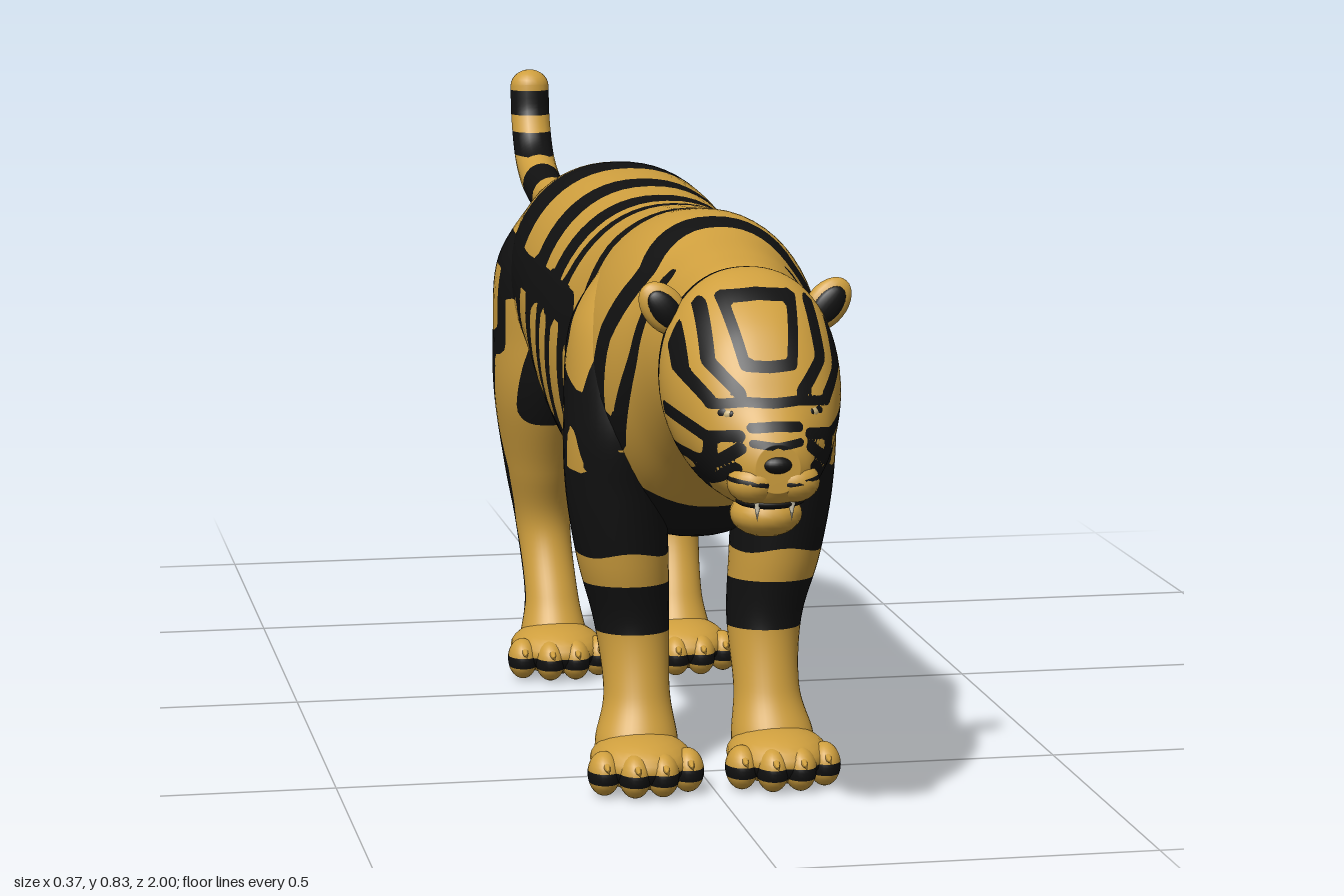
import * as THREE from 'three';

const ORANGE = new THREE.MeshStandardMaterial({ color: 0xcf9f3e });
const BLACK = new THREE.MeshStandardMaterial({ color: 0x111111 });
const EYE = new THREE.MeshStandardMaterial({ color: 0xc9b27a });
const TOOTH = new THREE.MeshStandardMaterial({ color: 0xe0d8c0 });

// Distance from (u, v) to the nearest painted stroke; negative means black.
// A stroke is [halfWidth, u0, v0, u1, v1, ...].
function strokes(list, u, v) {
  let best = 1;
  for (const [w, ...p] of list) {
    for (let i = 0; i + 3 < p.length; i += 2) {
      const dx = p[i + 2] - p[i], dy = p[i + 3] - p[i + 1];
      const t = THREE.MathUtils.clamp(((u - p[i]) * dx + (v - p[i + 1]) * dy) / (dx * dx + dy * dy), 0, 1);
      best = Math.min(best, Math.hypot(u - p[i] - t * dx, v - p[i + 1] - t * dy) - w);
    }
  }
  return best;
}

// Cuts a geometry along the zero line of the coat field into an orange and a black mesh.
function paint(name, geometry, field) {
  const g = geometry.index ? geometry.toNonIndexed() : geometry;
  const P = g.attributes.position.array, N = g.attributes.normal.array;
  const group = new THREE.Group();
  group.name = name;
  for (const [sign, material, suffix] of [[1, ORANGE, 'Fur'], [-1, BLACK, 'Stripes']]) {
    const pos = [], nor = [];
    for (let t = 0; t < P.length; t += 9) {
      const tri = [0, 3, 6].map(o => ({
        v: [...P.slice(t + o, t + o + 3), ...N.slice(t + o, t + o + 3)],
        f: sign * (field(P[t + o], P[t + o + 1], P[t + o + 2]) || 1e-9),
      }));
      const poly = [];
      tri.forEach((a, i) => {
        const b = tri[(i + 1) % 3];
        if (a.f > 0) poly.push(a.v);
        if (a.f * b.f < 0) poly.push(a.v.map((x, k) => x + (b.v[k] - x) * a.f / (a.f - b.f)));
      });
      for (let i = 1; i + 1 < poly.length; i++) {
        for (const q of [poly[0], poly[i], poly[i + 1]]) {
          pos.push(q[0], q[1], q[2]);
          nor.push(q[3], q[4], q[5]);
        }
      }
    }
    if (!pos.length) continue;
    const out = new THREE.BufferGeometry();
    out.setAttribute('position', new THREE.Float32BufferAttribute(pos, 3));
    out.setAttribute('normal', new THREE.Float32BufferAttribute(nor, 3));
    const mesh = new THREE.Mesh(out, material);
    mesh.name = name + suffix;
    group.add(mesh);
  }
  return group;
}

// Smooth closed skin through cross-section rows; place(row, cos, sin) gives a ring point.
function loft(rows, place, steps, sides) {
  const row = t => {
    const i = Math.min(Math.floor(t), rows.length - 2), f = t - i;
    const at = k => rows[THREE.MathUtils.clamp(k, 0, rows.length - 1)];
    return rows[i].map((_, c) => {
      const [a, b, d, e] = [at(i - 1)[c], at(i)[c], at(i + 1)[c], at(i + 2)[c]];
      return b + 0.5 * f * (d - a + f * (2 * a - 5 * b + 4 * d - e + f * (3 * (b - d) + e - a)));
    });
  };
  const pos = [], idx = [];
  for (let s = -1; s <= steps + 1; s++) {
    const r = row(THREE.MathUtils.clamp(s / steps, 0, 1) * (rows.length - 1));
    const k = s < 0 || s > steps ? 0 : 1;
    for (let j = 0; j < sides; j++) {
      const a = j / sides * Math.PI * 2;
      pos.push(...place(r, k * Math.cos(a), k * Math.sin(a)));
    }
  }
  for (let s = 0; s < steps + 2; s++) {
    for (let j = 0; j < sides; j++) {
      const a = s * sides + j, b = s * sides + (j + 1) % sides;
      idx.push(a, b, a + sides, b, b + sides, a + sides);
    }
  }
  // Turn the faces outward whichever way the rows run.
  const vec = i => new THREE.Vector3().fromArray(pos, i * 3);
  let volume = 0;
  for (let i = 0; i < idx.length; i += 3) volume += vec(idx[i]).dot(vec(idx[i + 1]).cross(vec(idx[i + 2])));
  if (volume < 0) idx.reverse();
  const g = new THREE.BufferGeometry();
  g.setAttribute('position', new THREE.Float32BufferAttribute(pos, 3));
  g.setIndex(idx);
  g.computeVertexNormals();
  return g;
}

// Section rows along z: [z, top, bottom, halfWidth]
const alongZ = ([z, top, bottom, w], c, s) => [
  w * Math.sign(c) * Math.abs(c) ** 0.9, (top + bottom) / 2 + s * (top - bottom) / 2, z];
const ball = (x, y, z, rx, ry, rz) =>
  new THREE.SphereGeometry(1, 20, 14).scale(rx, ry, rz).translate(x, y, z);

const BODY = [
  [-0.42, 0.665, 0.592, 0.035], [-0.37, 0.685, 0.575, 0.045], [-0.32, 0.712, 0.52, 0.085],
  [-0.25, 0.743, 0.47, 0.135], [-0.15, 0.766, 0.44, 0.16], [-0.03, 0.768, 0.4, 0.165],
  [0.1, 0.762, 0.345, 0.166], [0.25, 0.756, 0.322, 0.168], [0.4, 0.765, 0.316, 0.166],
  [0.5, 0.775, 0.33, 0.165], [0.58, 0.772, 0.38, 0.15], [0.65, 0.757, 0.435, 0.125],
  [0.72, 0.745, 0.48, 0.108], [0.79, 0.73, 0.5, 0.09], [0.84, 0.69, 0.53, 0.06]];
const HEAD = [
  [0.73, 0.69, 0.54, 0.06], [0.755, 0.725, 0.49, 0.1], [0.8, 0.737, 0.465, 0.115],
  [0.85, 0.718, 0.45, 0.112], [0.9, 0.68, 0.447, 0.097], [0.935, 0.635, 0.45, 0.08],
  [0.96, 0.59, 0.455, 0.06], [0.98, 0.562, 0.465, 0.045], [0.992, 0.54, 0.48, 0.028]];
// Leg rows: [y, centreX, centreZ, radiusX, radiusZ]
const FRONT_LEG = [
  [0.7, 0.08, 0.47, 0.045, 0.05], [0.62, 0.11, 0.475, 0.063, 0.09], [0.5, 0.115, 0.49, 0.07, 0.1],
  [0.4, 0.115, 0.49, 0.068, 0.085], [0.3, 0.105, 0.487, 0.062, 0.072], [0.21, 0.092, 0.482, 0.051, 0.06],
  [0.12, 0.09, 0.51, 0.045, 0.047], [0.06, 0.094, 0.53, 0.056, 0.055], [0.02, 0.094, 0.535, 0.055, 0.055]];
const HIND_LEG = [
  [0.72, 0.06, -0.17, 0.05, 0.07], [0.62, 0.1, -0.18, 0.07, 0.125], [0.5, 0.108, -0.19, 0.07, 0.125],
  [0.41, 0.11, -0.195, 0.066, 0.108], [0.3, 0.105, -0.217, 0.053, 0.076], [0.21, 0.1, -0.223, 0.041, 0.05],
  [0.11, 0.095, -0.177, 0.04, 0.041], [0.05, 0.095, -0.157, 0.05, 0.055], [0.02, 0.095, -0.155, 0.05, 0.055]];

// Coat strokes seen from the side, as z, y
const FLANK = [
  [0.027, -0.29, 0.78, -0.28, 0.62], [0.05, -0.09, 0.8, -0.1, 0.62], [0.033, 0.09, 0.8, 0.08, 0.62],
  [0.03, 0.23, 0.8, 0.2, 0.62], [0.017, 0.32, 0.8, 0.27, 0.62],
  [0.022, 0.45, 0.8, 0.42, 0.72, 0.46, 0.6, 0.43, 0.5],
  [0.018, 0.57, 0.8, 0.63, 0.71, 0.58, 0.62, 0.56, 0.52], [0.012, 0.69, 0.71, 0.66, 0.6, 0.6, 0.5],
  [0.025, 0.58, 0.49, 0.45, 0.55, 0.35, 0.62, 0, 0.625, -0.3, 0.645],
  [0.022, 0.33, 0.6, 0.36, 0.42], [0.02, 0.23, 0.6, 0.25, 0.42], [0.018, 0.14, 0.6, 0.16, 0.42],
  [0.022, 0.05, 0.6, 0.07, 0.42], [0.02, -0.04, 0.6, -0.06, 0.5, -0.1, 0.4],
  [0.06, 0.53, 0.37, 0.3, 0.38, 0.1, 0.4, 0, 0.44],
  [0.018, -0.14, 0.62, -0.15, 0.5, -0.29, 0.48], [0.014, -0.22, 0.62, -0.23, 0.49]];
const PATCHES = [
  [0.014, 0.33, 0.345, 0.28, 0.37], [0.013, 0.2, 0.36, 0.15, 0.385], [0.013, 0.09, 0.39, 0.05, 0.41]];
const LIMBS = [
  [0.034, 0.6, 0.24, 0.49, 0.235, 0.4, 0.225], [0.02, 0.4, 0.46, 0.425, 0.25, 0.455, 0.1, 0.48, 0.03],
  [0.02, 0.55, 0.5, 0.6, 0.37], [0.016, 0.5, 0.52, 0.48, 0.36, 0.6, 0.35],
  [0.02, -0.31, 0.42, -0.24, 0.36, -0.2, 0.46], [0.012, -0.22, 0.38, -0.21, 0.3, -0.235, 0.21, -0.18, 0.1, -0.18, 0.03]];
// Face strokes seen from the front, as |x|, y
const FACE = [
  [0.007, 0, 0.712, 0.045, 0.708, 0.03, 0.632], [0.007, 0, 0.63, 0.03, 0.632],
  [0.008, 0.07, 0.7, 0.072, 0.635, 0.04, 0.6], [0.008, 0.1, 0.69, 0.1, 0.62, 0.075, 0.59],
  [0.006, 0, 0.588, 0.035, 0.59, 0.075, 0.585], [0.006, 0, 0.562, 0.03, 0.56], [0.005, 0, 0.538, 0.03, 0.542],
  [0.007, 0.045, 0.55, 0.08, 0.545, 0.12, 0.57], [0.007, 0.045, 0.535, 0.075, 0.51, 0.115, 0.52],
  [0.007, 0.05, 0.51, 0.075, 0.485, 0.1, 0.47], [0.007, 0.075, 0.545, 0.078, 0.48, 0.06, 0.455]];

const flank = (x, y, z) => Math.max(strokes(FLANK, z, y), -strokes(PATCHES, z, y));
const limb = (x, y, z) => Math.min(flank(x, y, z), strokes(LIMBS, z, y));
const face = (x, y, z) => Math.min(
  Math.max(strokes(FACE, Math.abs(x), y), 0.825 - z), Math.abs(z - 0.8 - (0.6 - y) * 0.1) - 0.009);
const toeBand = (x, y) => Math.abs(y - 0.027) - 0.008;
const tailBands = (x, y, z) => Math.min(
  Math.abs(z + 0.593) - 0.048, Math.abs(z + 0.79) - 0.048, Math.abs(y - 0.775) - 0.02,
  Math.max(Math.abs(y - 0.71) - 0.018, z + 0.87));
const plain = () => 1;

export function createModel() {
  const model = new THREE.Group();
  model.name = 'stripedBigCat';
  const skin = (name, g, field = plain) => model.add(paint(name, g, field));
  const solid = (name, g, material) => {
    const m = new THREE.Mesh(g, material);
    m.name = name;
    model.add(m);
  };

  skin('body', loft(BODY, alongZ, 112, 64), flank);
  skin('head', loft(HEAD, alongZ, 72, 72), face);

  // Tail
  const path = [[0.628, -0.36], [0.63, -0.5], [0.64, -0.7], [0.653, -0.84], [0.69, -0.92], [0.75, -0.96], [0.8, -0.968]];
  const curve = new THREE.CatmullRomCurve3(path.map(([y, z]) => new THREE.Vector3(0, y, z)));
  skin('tail', new THREE.TubeGeometry(curve, 70, 0.032, 20), tailBands);
  skin('tailTip', ball(0, 0.8, -0.968, 0.032, 0.028, 0.032));

  // Muzzle
  skin('chin', ball(0, 0.442, 0.92, 0.046, 0.03, 0.045));
  solid('mouth', ball(0, 0.463, 0.945, 0.044, 0.01, 0.036), BLACK);
  solid('nose', ball(0, 0.515, 0.986, 0.02, 0.012, 0.013), BLACK);

  for (const side of [1, -1]) {
    const label = side > 0 ? 'left' : 'right';
    skin(label + 'MuzzlePad', ball(side * 0.026, 0.49, 0.963, 0.033, 0.027, 0.033),
      (x, y) => Math.abs(y - 0.488 - Math.abs(x) * 0.15) - 0.003);
    solid(label + 'Fang', new THREE.ConeGeometry(0.006, 0.03, 8).rotateX(Math.PI).translate(side * 0.022, 0.456, 0.972), TOOTH);
    solid(label + 'EyeRim', ball(side * 0.05, 0.573, 0.938, 0.019, 0.014, 0.013), BLACK);
    solid(label + 'Eye', ball(side * 0.05, 0.573, 0.944, 0.012, 0.009, 0.01), EYE);
    solid(label + 'Pupil', ball(side * 0.05, 0.573, 0.951, 0.005, 0.006, 0.004), BLACK);

    // Ears
    const ear = (rx, ry, rz, dz) => ball(0, 0, dz, rx, ry, rz).rotateZ(-side * 0.7).translate(side * 0.106, 0.685, 0.79);
    skin(label + 'Ear', ear(0.027, 0.04, 0.016, 0));
    solid(label + 'EarInside', ear(0.018, 0.029, 0.009, 0.01), BLACK);

    // Legs, paws, toes and claws
    for (const [name, rows, pawZ, pawX] of [['Front', FRONT_LEG, 0.565, 0.094], ['Hind', HIND_LEG, -0.13, 0.095]]) {
      const leg = ([y, cx, cz, rx, rz], c, s) => [side * (cx + rx * c), y, cz + rz * s];
      skin(label + name + 'Leg', loft(rows, leg, 72, 40), limb);
      skin(label + name + 'Paw', ball(side * pawX, 0.038, pawZ, 0.069, 0.038, 0.082), toeBand);
      for (let i = 0; i < 4; i++) {
        const x = side * pawX + (i - 1.5) * 0.038;
        const z = pawZ + (i % 3 ? 0.058 : 0.036);
        skin(label + name + 'Toe', ball(x, 0.03, z, 0.022, 0.03, 0.03), toeBand);
        solid(label + name + 'Claw',
          new THREE.ConeGeometry(0.007, 0.03, 8).rotateX(1.8).translate(x, 0.042, z + 0.03), ORANGE);
      }
    }
  }
  return model;
}
